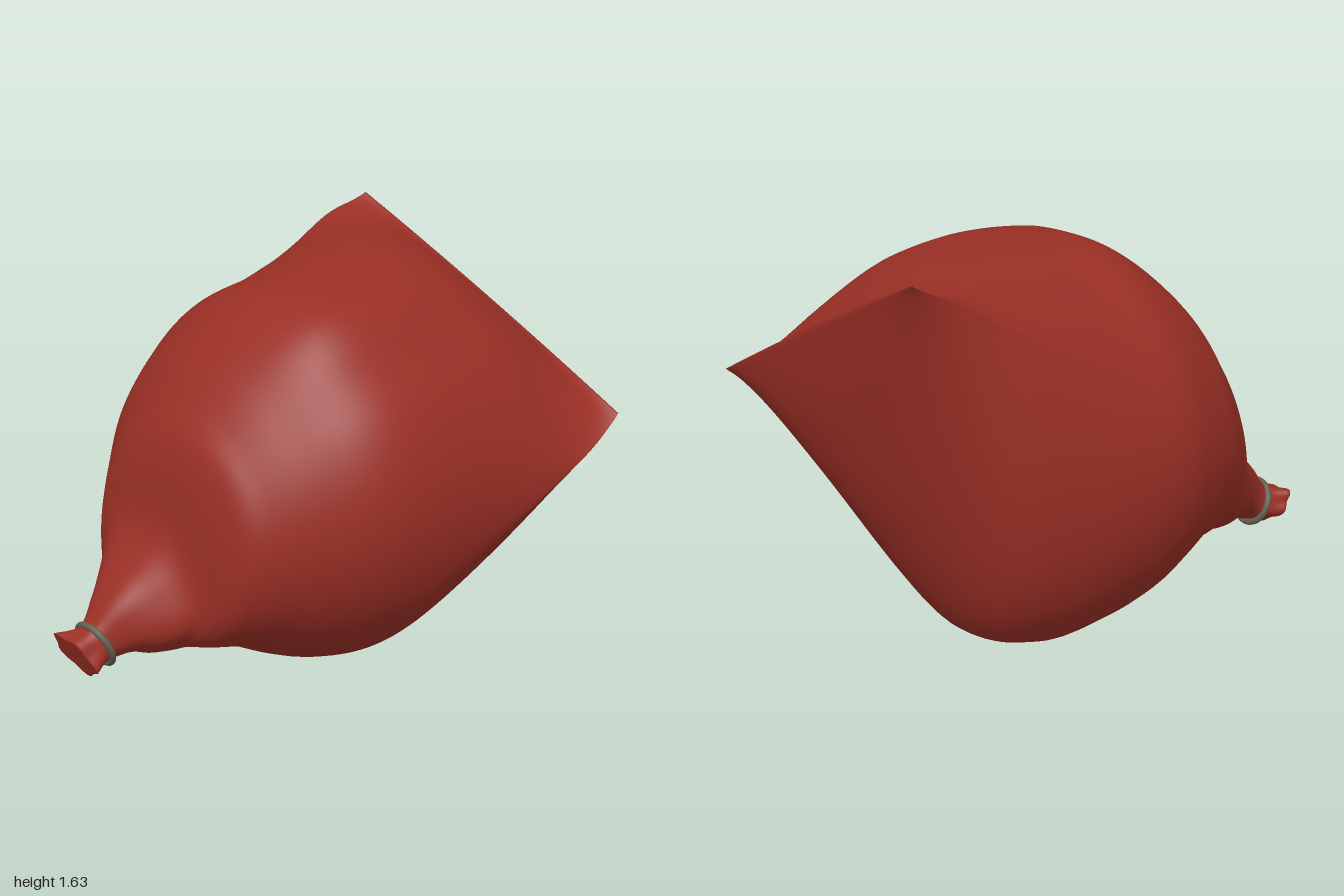
import * as THREE from 'three';

const SIDES = 96, STEPS = 6;
const TILT = -0.467; // angle of the flat rear seam
const ramp = THREE.MathUtils.smoothstep;

// Sections from rear seam to mouth:
// z, centre x, centre y, half width, upper bulge, lower bulge, lens sharpness
const SECTIONS = [
  [-0.975, 0.105, 1.3, 0.741, 0.012, 0.012, 1],
  [-0.93, 0.097, 1.27, 0.752, 0.06, 0.29, 0.95],
  [-0.8, 0.075, 1.2, 0.782, 0.22, 0.66, 0.85],
  [-0.6, 0.05, 1.08, 0.785, 0.42, 0.96, 0.5],
  [-0.35, 0.012, 0.93, 0.775, 0.6, 0.925, 0.22],
  [-0.1, -0.02, 0.8, 0.755, 0.73, 0.785, 0.05],
  [0.1, -0.025, 0.785, 0.72, 0.715, 0.725, 0],
  [0.25, -0.025, 0.77, 0.655, 0.65, 0.65, 0],
  [0.4, -0.04, 0.735, 0.56, 0.54, 0.54, 0],
  [0.5, -0.045, 0.68, 0.475, 0.47, 0.47, 0],
  [0.57, -0.05, 0.635, 0.41, 0.415, 0.41, 0],
  [0.61, -0.08, 0.57, 0.35, 0.35, 0.34, 0],
  [0.64, -0.12, 0.465, 0.28, 0.25, 0.24, 0],
  [0.72, -0.12, 0.4, 0.205, 0.17, 0.165, 0],
  [0.8, -0.125, 0.35, 0.13, 0.115, 0.11, 0],
  [0.88, -0.14, 0.29, 0.08, 0.075, 0.075, 0],
  [0.965, -0.155, 0.26, 0.105, 0.065, 0.065, 0],
];

// Smooth interpolation between neighbouring sections
function sectionAt(i, f) {
  const pick = (k) => SECTIONS[THREE.MathUtils.clamp(k, 0, SECTIONS.length - 1)];
  const [p, q, r, s] = [pick(i - 1), pick(i), pick(i + 1), pick(i + 2)];
  return q.map((_, k) => {
    const m0 = (r[k] - p[k]) / 2, m1 = (s[k] - q[k]) / 2, d = r[k] - q[k];
    return q[k] + f * (m0 + f * (3 * d - 2 * m0 - m1 + f * (m0 + m1 - 2 * d)));
  });
}

// One closed loop of points; scale 0 collapses it to a cap centre
function ring([z, cx, cy, a, up, low, lens], scale = 1) {
  const c = Math.cos(TILT), s = Math.sin(TILT);
  const belly = ramp(z, -0.85, -0.25) * (1 - ramp(z, 0.1, 0.55));
  const pleat = 0.03 * ramp(z, 0.58, 0.68) + 0.07 * ramp(z, 0.88, 0.965);
  const leanY = 0.43 * ramp(z, 0.68, 0.88);       // neck sections tip downwards
  const leanX = 0.037 * (1 - ramp(z, -0.95, -0.6)); // seam is slightly skewed
  const out = [];
  for (let j = 0; j < SIDES; j++) {
    const t = (j / SIDES) * Math.PI * 2;
    const bump = (at, w) => Math.exp(-((Math.atan2(Math.sin(t - at), Math.cos(t - at)) / w) ** 2));
    // cloth ridges on the belly, gathered pleats at the neck
    const fold = scale * (1 + pleat * Math.sin(5 * t + 0.4)
      + belly * (0.04 * bump(1.6, 0.2) - 0.015 * bump(1.25, 0.15) + 0.025 * bump(5.06, 0.1)));
    const sin = Math.sin(t), h = sin >= 0 ? up : low;
    const u = a * Math.cos(t) * fold;
    const v = h * sin * Math.pow(Math.abs(sin), Math.max(0, lens)) * fold;
    const x = u * c - v * s, y = u * s + v * c;
    out.push(cx + x, cy + y, z + leanY * y - leanX * x);
  }
  return out;
}

function sackGeometry() {
  const last = SECTIONS.length - 1;
  const rows = [ring(SECTIONS[0], 0)];
  for (let i = 0; i < last; i++)
    for (let f = 0; f < STEPS; f++) rows.push(ring(sectionAt(i, f / STEPS)));
  rows.push(ring(SECTIONS[last]), ring(SECTIONS[last], 0.9), ring(SECTIONS[last], 0));
  const index = [];
  for (let i = 0; i < rows.length - 1; i++)
    for (let j = 0; j < SIDES; j++) {
      const n = (j + 1) % SIDES;
      const A = i * SIDES + j, B = i * SIDES + n, C = A + SIDES, D = B + SIDES;
      index.push(A, B, C, B, D, C);
    }
  const g = new THREE.BufferGeometry();
  g.setAttribute('position', new THREE.Float32BufferAttribute(rows.flat(), 3));
  g.setIndex(index);
  g.computeVertexNormals();
  return g;
}

export function createModel() {
  const model = new THREE.Group();
  model.name = 'tiedSack';
  const cloth = new THREE.MeshStandardMaterial({ color: 0x9a2f25 });
  cloth.name = 'redCloth';
  const metal = new THREE.MeshStandardMaterial({ color: 0x625e50 });
  metal.name = 'greyTie';

  const sack = new THREE.Mesh(sackGeometry(), cloth);
  sack.name = 'sack';

  // Ring holding the neck closed
  const tie = new THREE.Mesh(new THREE.TorusGeometry(0.088, 0.013, 12, 40), metal);
  tie.name = 'neckRing';
  tie.position.set(-0.143, 0.285, 0.88);
  tie.rotation.x = 0.41;

  model.add(sack, tie);
  return model;
}
